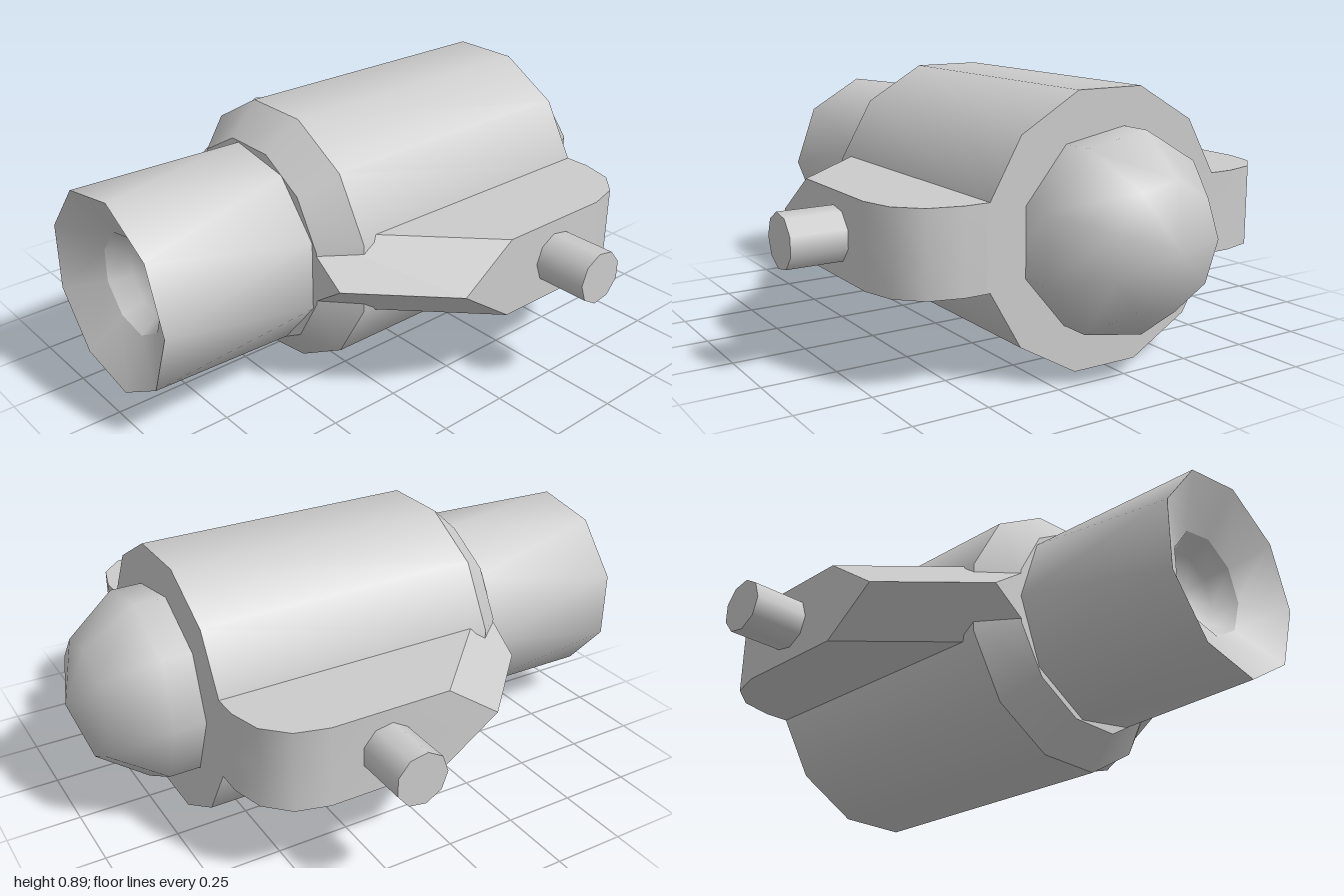
import * as THREE from 'three';
import { toCreasedNormals } from 'three/addons/utils/BufferGeometryUtils.js';

const CY = 0.447; // height of the main axis
const material = new THREE.MeshStandardMaterial({ color: 0xcccccc, side: THREE.DoubleSide });

function add(group, name, geometry) {
  const mesh = new THREE.Mesh(geometry, material);
  mesh.name = name;
  group.add(mesh);
  return mesh;
}

// Cylinder lying along z, from zBack to zFront
function alongZ(rFront, rBack, zBack, zFront, sides, start, open) {
  return new THREE.CylinderGeometry(rFront, rBack, zFront - zBack, sides, 1, open, start)
    .rotateX(Math.PI / 2)
    .translate(0, CY, (zBack + zFront) / 2);
}

// Barrel whose back ring is turned by half a side against its front ring
function barrelGeometry() {
  const g = new THREE.CylinderGeometry(0.34, 0.345, 0.56, 9, 1, true, Math.PI / 2);
  const v = new THREE.Vector3(), up = new THREE.Vector3(0, 1, 0);
  for (let i = 0; i < g.attributes.position.count; i++) {
    if (g.attributes.position.getY(i) > 0) continue;
    for (const attribute of [g.attributes.position, g.attributes.normal]) {
      v.fromBufferAttribute(attribute, i).applyAxisAngle(up, Math.PI / 9);
      attribute.setXYZ(i, v.x, v.y, v.z);
    }
  }
  return g.rotateX(Math.PI / 2).translate(0, CY, 0.72);
}

// Revolved surface around the main axis, from [radius, z] pairs
function revolve(points) {
  return new THREE.LatheGeometry(points.map(p => new THREE.Vector2(...p)), 9, Math.PI / 2)
    .rotateX(Math.PI / 2)
    .translate(0, CY, 0);
}

// Wing: three stacked outlines, the middle one reaching further forward as a ridge
function wingGeometry(side) {
  const layers = [[-0.137, 0.71], [0, 0.905], [0.137, 0.71]]; // height, front cut x + z
  const positions = [], index = [];
  const tri = (a, b, c) => index.push(...(side > 0 ? [a, b, c] : [a, c, b]));
  let n = 0;
  for (const [y, cut] of layers) {
    const outline = [
      [0, -0.655], [0.52, -0.655], [0.63, -0.625], [0.705, -0.55], [0.735, -0.44],
      [0.735, cut - 0.735], [cut - 0.445, 0.445], [0, 0.445],
    ];
    n = outline.length;
    for (const [x, z] of outline) positions.push(side * x, CY + y, z);
  }
  for (let l = 0; l < 2; l++) {
    for (let i = 0; i < n - 1; i++) {
      const a = l * n + i, b = a + 1, c = b + n, d = a + n;
      tri(a, d, c);
      tri(a, c, b);
    }
  }
  for (let i = 1; i < n - 1; i++) {
    tri(0, i, i + 1);
    tri(2 * n, 2 * n + i + 1, 2 * n + i);
  }
  const g = new THREE.BufferGeometry();
  g.setAttribute('position', new THREE.Float32BufferAttribute(positions, 3));
  g.setIndex(index);
  return toCreasedNormals(g, 0.6);
}

export function createModel() {
  const model = new THREE.Group();
  model.name = 'model';

  // Twelve-sided housing with a bevelled front
  add(model, 'housing', alongZ(0.46, 0.46, -0.655, 0.333, 12, Math.PI / 12, false));
  add(model, 'housingBevel', alongZ(0.357, 0.46, 0.333, 0.445, 12, Math.PI / 12, false));

  // Rounded rear end
  add(model, 'rearDome', new THREE.SphereGeometry(0.345, 9, 5)
    .rotateX(-Math.PI / 2).translate(0, CY, -0.655));

  // Front barrel with a funnel mouth and a small bowl in it
  add(model, 'barrel', barrelGeometry());
  add(model, 'barrelFunnel', revolve([[0.34, 1], [0.175, 0.91]]));
  add(model, 'barrelBowl', revolve([[0.175, 0.91], [0.13, 0.84], [0.07, 0.8], [0, 0.79]]));

  // Wings with side pins
  for (const side of [1, -1]) {
    const label = side > 0 ? 'left' : 'right';
    add(model, label + 'Wing', wingGeometry(side));
    add(model, label + 'Pin', new THREE.CylinderGeometry(0.09, 0.09, 0.22, 9)
      .rotateZ(-side * Math.PI / 2)
      .translate(side * 0.81, CY, -0.245));
  }
  return model;
}
